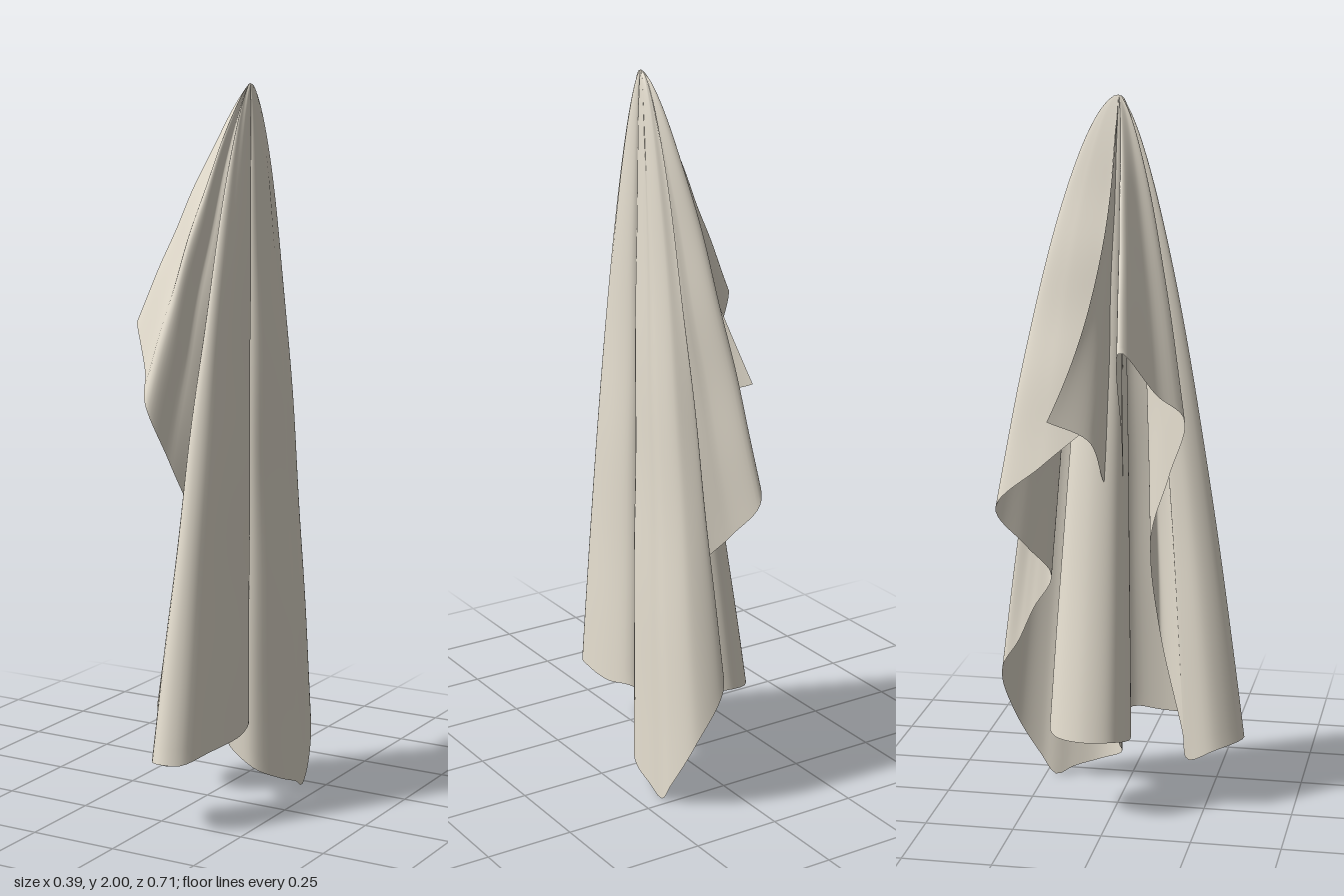
import * as THREE from 'three';

const APEX = new THREE.Vector3(0.12, 2, -0.02);

// Hems are lists of [x, y, z, optional exponents for how fast the fold opens in z and in x]

// Hem of the outer sheet, from the back drape round the +x side to the front drape and its inner fold
const OUTER_HEM = [
  [-0.07, 1.12, -0.06, 1.1], [-0.08, 1.0, -0.2], [-0.058, 0.87, -0.335], [-0.005, 0.75, -0.26, 0.52, 1.3],
  [0.05, 0.65, -0.2, 0.42, 2.6], [0.06, 0.55, -0.255, 0.5, 2.8], [0.06, 0.45, -0.3, 0.54, 2.6],
  [0.07, 0.36, -0.352, 0.56, 1.6], [0.15, 0.2, -0.335], [0.185, 0.06, -0.265], [0.188, 0, -0.22],
  [0.194, 0.025, -0.17, 0.45], [0.188, 0.06, -0.08, 0.3], [0.14, 0.1, -0.015],
  [0.06, 0.17, -0.008, 0.6, 1.1], [0.14, 0.24, 0.012], [0.165, 0.23, 0.1],
  [0.15, 0.22, 0.25], [0.11, 0.2, 0.335], [0.05, 0.2, 0.353], [-0.008, 0.18, 0.28, 0.65, 1.1],
  [0, 0.145, 0.2, 0.6, 1.3], [0.01, 0.22, 0.185, 0.55, 1.6], [0.06, 0.5, 0.11, 0.42, 2.5],
  [0.02, 0.78, 0.09, 0.45, 1.5], [-0.03, 0.98, 0.15], [-0.08, 1.15, 0.198], [-0.12, 1.22, 0.13],
  [-0.2, 1.35, 0.042], [-0.1, 1.08, 0.03], [-0.03, 0.95, 0.012], [-0.06, 0.95, -0.02, 1.2],
  [-0.1, 1.08, -0.06, 2], [-0.14, 1.14, -0.17, 2.6],
];

// Hem of the inner lobe hanging between the two drapes
const INNER_HEM = [
  [0.05, 0.24, 0.0], [-0.03, 0.24, 0.04], [-0.1, 0.23, 0.052], [-0.16, 0.24, 0.01],
  [-0.175, 0.24, -0.07], [-0.14, 0.24, -0.15], [-0.08, 0.25, -0.178], [0, 0.24, -0.13],
  [0.06, 0.24, -0.06],
];

// Fans a sheet out from the hanging point down to its hem
function hangingSheet(name, hem, columns, rows, material) {
  const curve = new THREE.CatmullRomCurve3(
    hem.map(([x, y, z]) => new THREE.Vector3(x, y, z)), false, 'centripetal');
  const ends = curve.getSpacedPoints(columns);
  const openZ = hem.map(([, , z, pz]) => pz ?? (z > APEX.z ? 0.65 : 0.56));
  const openX = hem.map(([x, , , , px]) => px ?? (x > APEX.x ? 0.5 : 0.88));
  const positions = [], index = [];
  for (let j = 0; j <= rows; j++) {
    const t = Math.pow(j / rows, 1.5);
    for (let i = 0; i <= columns; i++) {
      const dx = ends[i].x - APEX.x, dz = ends[i].z - APEX.z;
      const k = curve.getUtoTmapping(i / columns) * (hem.length - 1);
      const k0 = Math.min(Math.floor(k), hem.length - 2);
      const px = THREE.MathUtils.lerp(openX[k0], openX[k0 + 1], k - k0);
      const pz = THREE.MathUtils.lerp(openZ[k0], openZ[k0 + 1], k - k0);
      // soft creases that fade out at both ends
      const ripple = 0.002 * Math.sin(t * 17 + i * 0.09) * Math.sin(Math.PI * t);
      positions.push(
        APEX.x + dx * Math.pow(t, px) + ripple * THREE.MathUtils.clamp(dx * 20, -1, 1),
        APEX.y + (ends[i].y - APEX.y) * t,
        APEX.z + dz * Math.pow(t, pz));
      if (j < rows && i < columns) {
        const a = j * (columns + 1) + i, b = a + columns + 1;
        if (j > 0) index.push(a, a + 1, b);
        index.push(a + 1, b + 1, b);
      }
    }
  }
  const geometry = new THREE.BufferGeometry();
  geometry.setAttribute('position', new THREE.Float32BufferAttribute(positions, 3));
  geometry.setIndex(index);
  geometry.computeVertexNormals();
  const mesh = new THREE.Mesh(geometry, material);
  mesh.name = name;
  return mesh;
}

export function createModel() {
  const group = new THREE.Group();
  group.name = 'hangingCloth';
  const cloth = new THREE.MeshStandardMaterial({ color: 0xe6dfd0, side: THREE.DoubleSide });
  group.add(hangingSheet('outerFolds', OUTER_HEM, 260, 60, cloth));
  group.add(hangingSheet('innerFold', INNER_HEM, 80, 60, cloth));
  return group;
}
